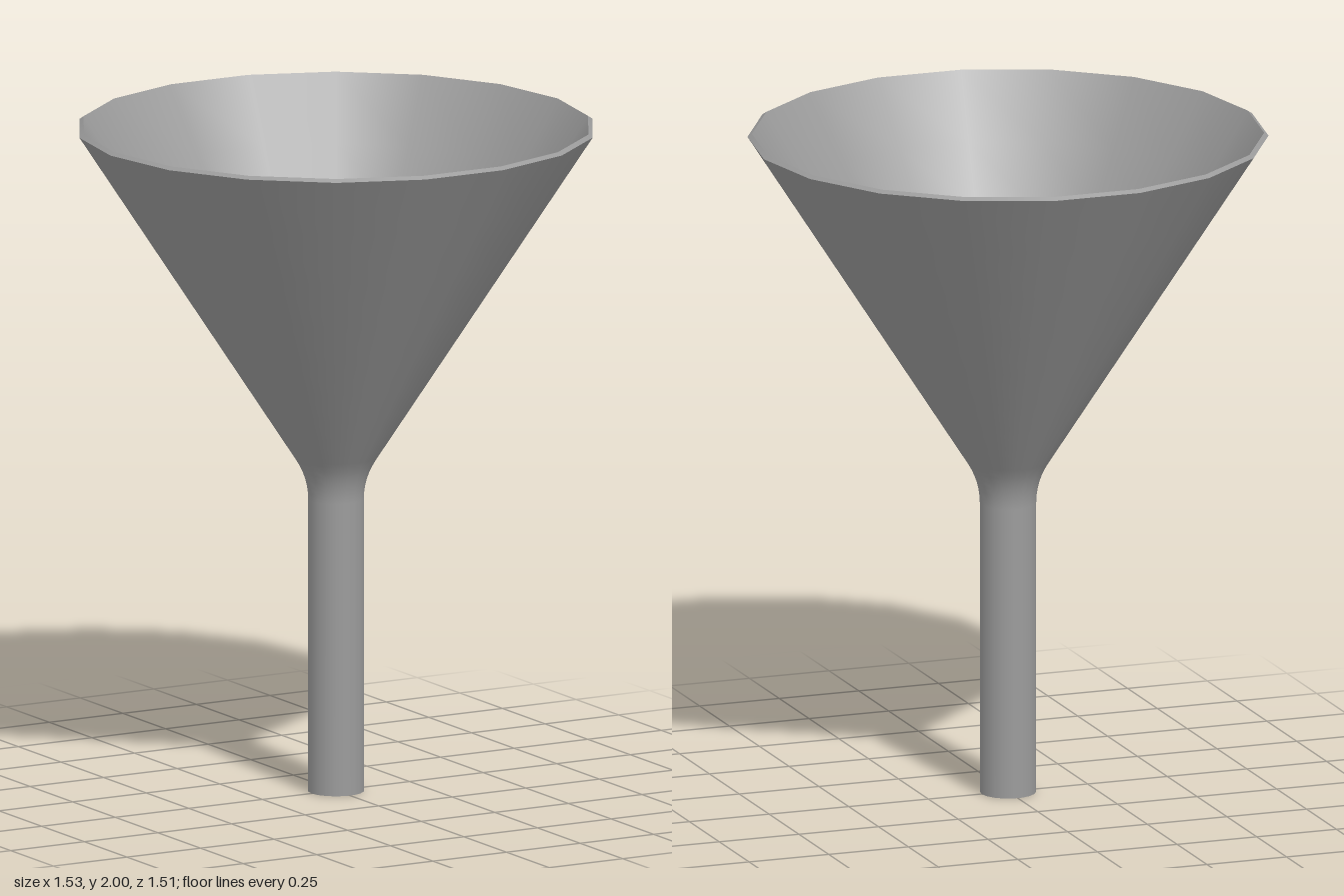
import * as THREE from 'three';

const SIDES = 18;
const CONE_STEPS = 10;

// Wall profile: straight spout, rounded bend, straight cone up to the rim
function wallProfile(radius, bendY, rim) {
  const corner = new THREE.Vector2(radius, bendY);
  const bendStart = new THREE.Vector2(radius, bendY - 0.065);
  const bendEnd = corner.clone().add(rim.clone().sub(corner).setLength(0.065));
  const bend = new THREE.QuadraticBezierCurve(bendStart, corner, bendEnd);
  const points = [new THREE.Vector2(radius, 0), ...bend.getPoints(6)];
  // Rings widen towards the rim, which keeps the cone's shading even
  for (let i = 1; i <= CONE_STEPS; i++) {
    points.push(bendEnd.clone().lerp(rim, (i / CONE_STEPS) ** 2));
  }
  return points;
}

export function createModel() {
  const group = new THREE.Group();
  group.name = 'funnel';
  const material = new THREE.MeshStandardMaterial({ color: 0x9b9b9b });

  // Separate turned surfaces keep the rim and spout edges sharp
  const addTurned = (name, points) => {
    const mesh = new THREE.Mesh(new THREE.LatheGeometry(points, SIDES, Math.PI / 2), material);
    mesh.name = name;
    group.add(mesh);
  };

  const outer = wallProfile(0.083, 0.943, new THREE.Vector2(0.766, 1.991));
  const inner = wallProfile(0.066, 0.946, new THREE.Vector2(0.753, 2));

  addTurned('outerWall', outer);
  addTurned('innerWall', inner.slice().reverse());
  addTurned('rim', [outer.at(-1), inner.at(-1)]);
  addTurned('spoutEnd', [inner[0], outer[0]]);

  return group;
}
